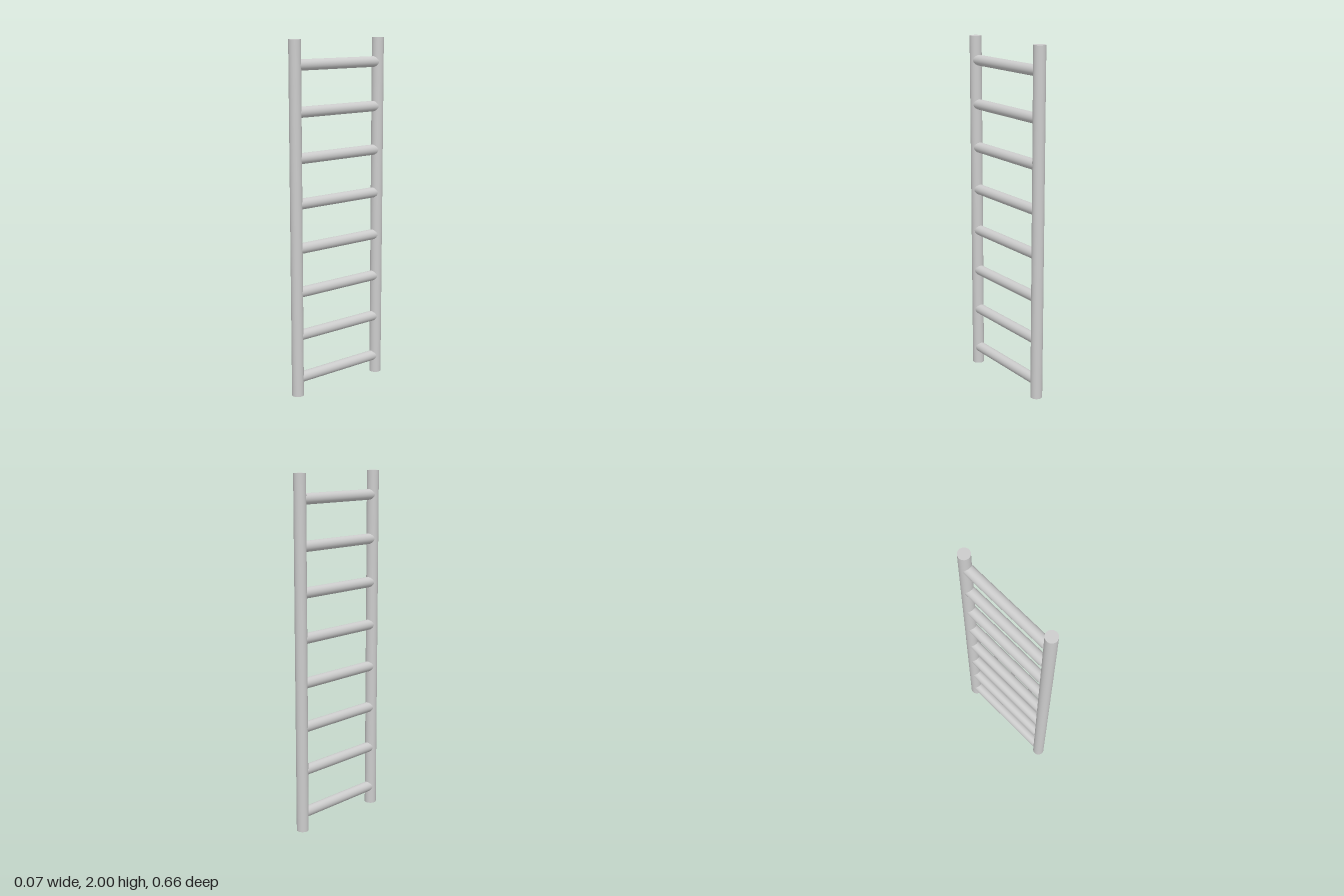
import * as THREE from 'three';

export function createModel() {
  const group = new THREE.Group();
  const material = new THREE.MeshStandardMaterial({ color: 0xcccccc });
  const railZ = 0.296, railRadius = 0.034, rungRadius = 0.03;
  const rungCount = 8, firstRungY = 0.103, rungSpacing = 0.2516;

  // Two upright rails
  const railGeometry = new THREE.CylinderGeometry(railRadius, railRadius, 2, 48);
  for (const side of [1, -1]) {
    const rail = new THREE.Mesh(railGeometry, material);
    rail.name = side > 0 ? 'frontRail' : 'backRail';
    rail.position.set(0, 1, side * railZ);
    group.add(rail);
  }

  // Evenly spaced round rungs, ending inside the rails
  const rungGeometry = new THREE.CylinderGeometry(rungRadius, rungRadius, 2 * railZ, 48);
  rungGeometry.rotateX(Math.PI / 2);
  for (let i = 0; i < rungCount; i++) {
    const rung = new THREE.Mesh(rungGeometry, material);
    rung.name = `rung${i + 1}`;
    rung.position.y = firstRungY + i * rungSpacing;
    group.add(rung);
  }
  return group;
}
